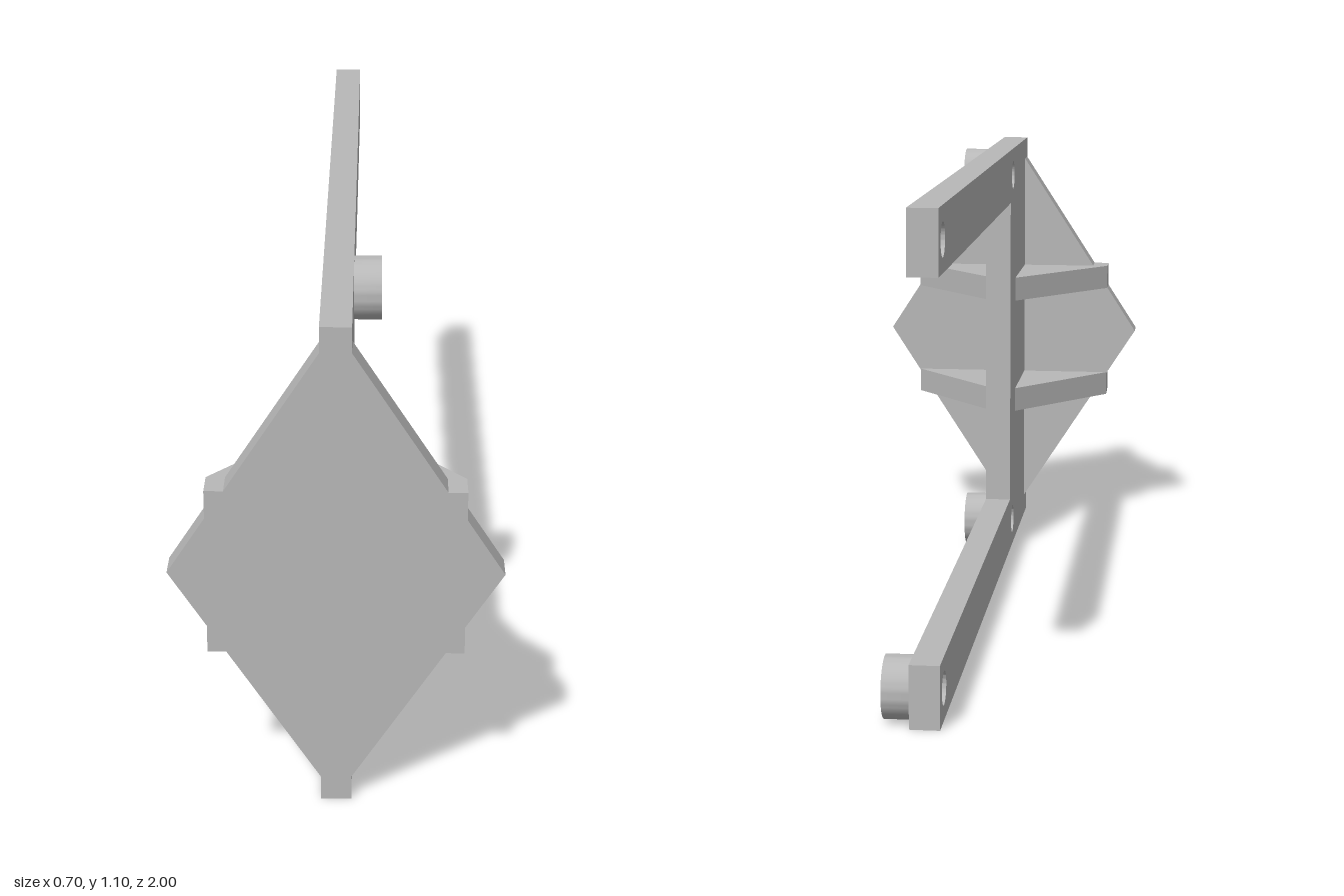
import * as THREE from 'three';
import { toCreasedNormals } from 'three/addons/utils/BufferGeometryUtils.js';

const HEIGHT = 1.097;
const HALF = 0.033; // half thickness of the upright plate
const HOLE_R = 0.037;
const BOSS_R = 0.069;
const LOW = 0.071;
const HIGH = HEIGHT - LOW;

const polygon = (points) => new THREE.Shape(points.map(([x, y]) => new THREE.Vector2(x, y)));
const circle = (path, x, y, r) => path.absarc(x, y, r, 0, Math.PI * 2, false);

function extrude(shape, depth) {
  return new THREE.ExtrudeGeometry(shape, { depth, bevelEnabled: false, curveSegments: 32 });
}

export function createModel() {
  const model = new THREE.Group();
  const grey = new THREE.MeshStandardMaterial({ color: 0xb8b8b8 });
  grey.name = 'grey';

  const add = (name, geometry) => {
    const mesh = new THREE.Mesh(toCreasedNormals(geometry, 0.6), grey);
    mesh.name = name;
    model.add(mesh);
    return mesh;
  };

  // Upright fork plate with two arms, drawn in (-z, y) and extruded along x
  const fork = polygon([
    [-1, 0], [1, 0], [1, 0.141], [-0.508, 0.141],
    [-0.508, HEIGHT - 0.141], [1, HEIGHT - 0.141], [1, HEIGHT], [-1, HEIGHT],
  ]);
  for (const z of [0.578, -0.931]) {
    for (const y of [LOW, HIGH]) {
      const hole = new THREE.Path();
      circle(hole, -z, y, HOLE_R);
      fork.holes.push(hole);
    }
  }
  add('forkPlate', extrude(fork, HALF * 2).rotateY(Math.PI / 2).translate(-HALF, 0, 0));

  // Ring bosses on the left face
  for (const [name, z, y] of [
    ['upperFrontBoss', 0.578, HIGH],
    ['lowerFrontBoss', 0.578, LOW],
    ['lowerRearBoss', -0.931, LOW],
  ]) {
    const ring = new THREE.Shape();
    circle(ring, 0, 0, BOSS_R);
    const hole = new THREE.Path();
    circle(hole, 0, 0, HOLE_R);
    ring.holes.push(hole);
    add(name, extrude(ring, 0.06).rotateY(Math.PI / 2)).position.set(HALF, y, z);
  }

  // Diamond face plate
  const mid = HEIGHT / 2;
  const diamond = polygon([[0, mid - 0.544], [0.352, mid], [0, mid + 0.544], [-0.352, mid]]);
  add('facePlate', extrude(diamond, 0.068)).position.z = 0.932;

  // Horizontal gussets, drawn in (x, -z) and extruded upward
  const gusset = polygon([
    [-0.271, -1], [0.271, -1], [0.271, -0.932],
    [HALF, -0.648], [-HALF, -0.648], [-0.271, -0.932],
  ]);
  for (const [name, y] of [['lowerGusset', 0.362], ['upperGusset', 0.672]]) {
    add(name, extrude(gusset, 0.064).rotateX(-Math.PI / 2)).position.y = y;
  }

  return model;
}
